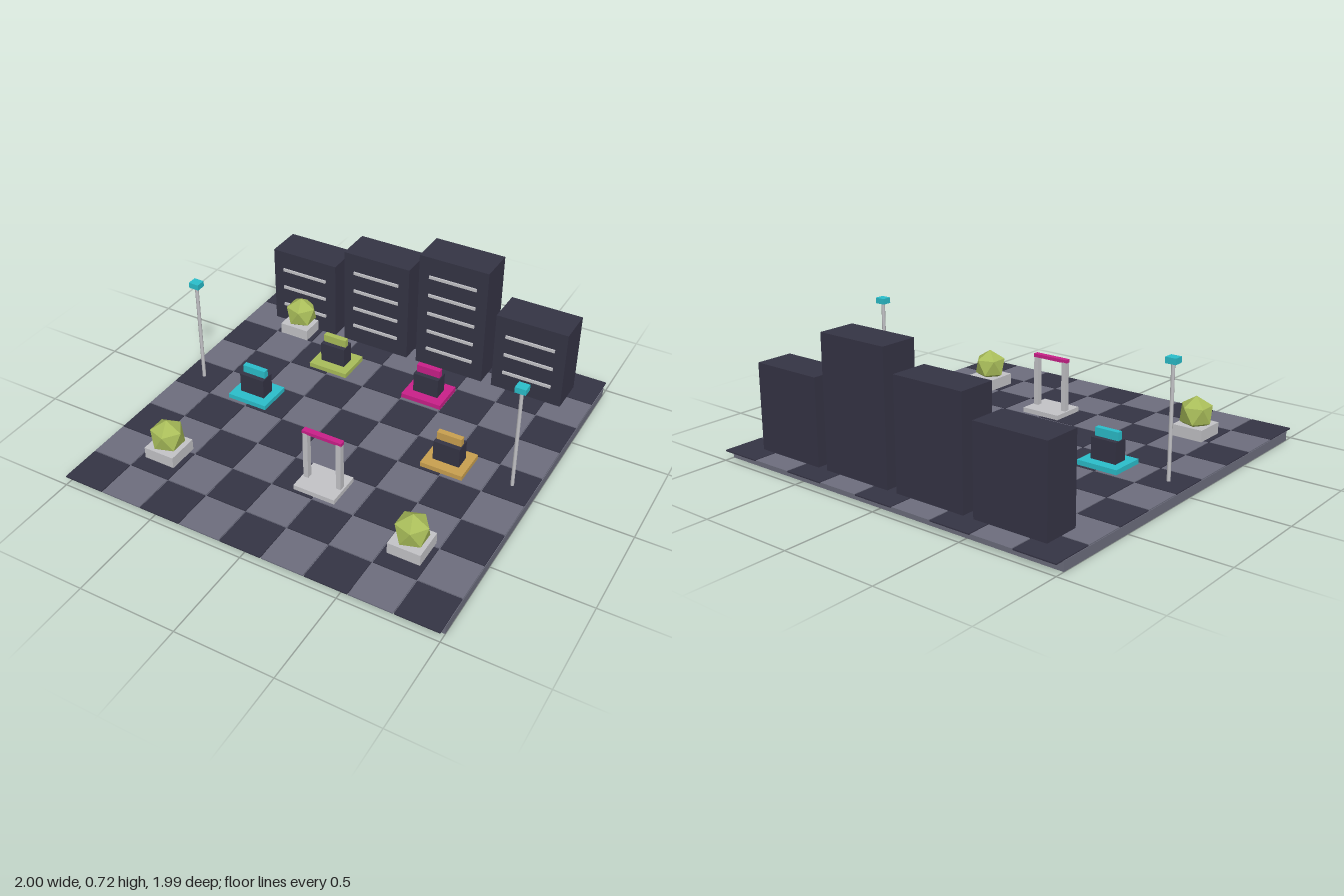
import * as THREE from 'three';

const mat = (name, color) => {
  const m = new THREE.MeshStandardMaterial({ color });
  m.name = name;
  return m;
};

export function createModel() {
  const dark = mat('darkSlate', 0x353445);
  const slate = mat('slate', 0x6d6e7e);
  const grey = mat('paleGrey', 0xc3c3c7);
  const cyan = mat('cyan', 0x2bbecb);
  const magenta = mat('magenta', 0xca2089);
  const lime = mat('lime', 0xa9bd5a);
  const amber = mat('amber', 0xc9a04f);

  const model = new THREE.Group();
  model.name = 'cityPlaza';
  const pitch = 2 / 9;
  const ground = 0.05;

  const group = (name, x, z) => {
    const g = new THREE.Group();
    g.name = name;
    g.position.set(x, ground, z);
    model.add(g);
    return g;
  };
  // Box that stands on height y of its parent
  const box = (parent, name, material, w, h, d, x = 0, y = 0, z = 0) => {
    const mesh = new THREE.Mesh(new THREE.BoxGeometry(w, h, d), material);
    mesh.name = name;
    mesh.position.set(x, y + h / 2, z);
    parent.add(mesh);
    return mesh;
  };

  // Base slab and checkered paving
  box(model, 'baseSlab', slate, 2, 0.048, 1.9);
  const paving = group('paving', 0, 0);
  for (let i = 0; i < 9; i++) {
    for (let j = 0; j < 9; j++) {
      box(paving, 'tile', (i + j) % 2 ? slate : dark, 0.217, 0.006, 0.217,
        (i - 4) * pitch, -0.003, (j - 4) * pitch);
    }
  }

  // Row of buildings with window strips on the front
  [0.442, 0.554, 0.666, 0.442].forEach((h, i) => {
    const g = group('building', (i - 1.5) * 2 * pitch, -0.777);
    box(g, 'tower', dark, 0.388, h, 0.196);
    for (let y = 0.11; y < h - 0.09; y += 0.111) {
      box(g, 'windowStrip', grey, 0.268, 0.016, 0.009, 0, y - 0.008, 0.102);
    }
  });

  // Market stalls
  const stalls = [
    [cyan, -2.5, 0], [lime, -1.5, -2], [magenta, 1, -2], [amber, 2.5, 0],
  ];
  for (const [material, i, j] of stalls) {
    const g = group('stall', i * pitch, j * pitch);
    box(g, 'stallBase', material, 0.222, 0.028, 0.187);
    box(g, 'stallCounter', dark, 0.14, 0.108, 0.08, 0, 0.028);
    box(g, 'stallSign', material, 0.13, 0.042, 0.03, 0, 0.136);
  }

  // Gateway
  const gate = group('gateway', pitch / 2, 2 * pitch);
  box(gate, 'gateBase', grey, 0.222, 0.028, 0.187);
  for (const s of [-1, 1]) box(gate, 'gatePost', grey, 0.026, 0.265, 0.03, s * 0.089, 0.028);
  box(gate, 'gateBeam', magenta, 0.21, 0.018, 0.03, 0, 0.29);

  // Planters with faceted bushes, one corner pointing up
  const bushShape = new THREE.IcosahedronGeometry(0.091, 0);
  bushShape.rotateZ(-Math.atan(2 / (1 + Math.sqrt(5))));
  for (const [x, z] of [[-0.667, 0.612], [0.667, 0.612], [-0.667, -0.636]]) {
    const g = group('planter', x, z);
    box(g, 'planterBox', grey, 0.166, 0.063, 0.166);
    const bush = new THREE.Mesh(bushShape, lime);
    bush.name = 'bush';
    bush.position.y = 0.116;
    g.add(bush);
  }

  // Lamp posts
  for (const s of [-1, 1]) {
    const g = group('lampPost', s * 4 * pitch, 0);
    const pole = new THREE.Mesh(new THREE.CylinderGeometry(0.0095, 0.0095, 0.56, 8), grey);
    pole.name = 'pole';
    pole.position.y = 0.28;
    g.add(pole);
    box(g, 'lampHead', cyan, 0.055, 0.03, 0.05, 0, 0.56);
  }

  return model;
}
